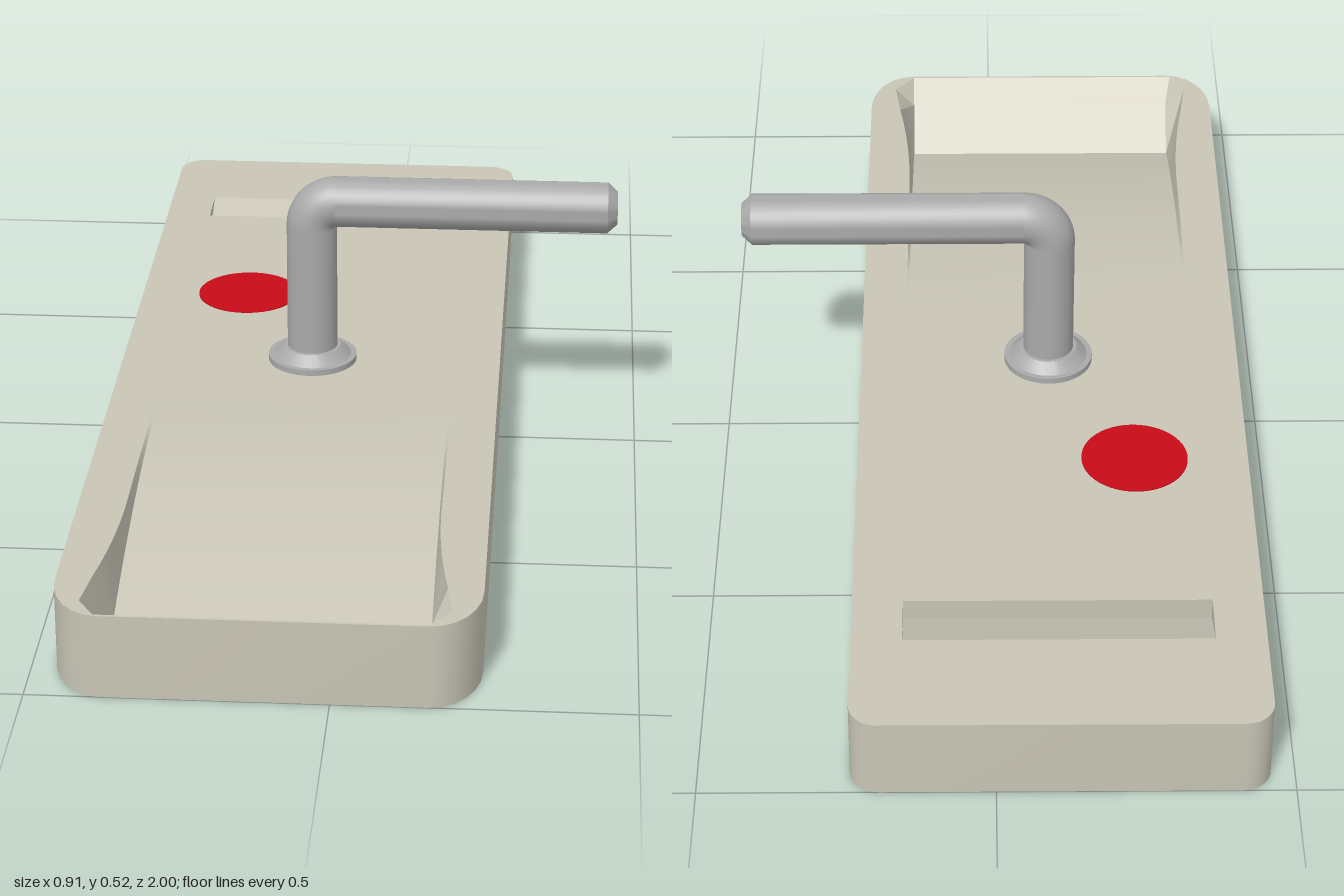
import * as THREE from 'three';
import { toCreasedNormals } from 'three/addons/utils/BufferGeometryUtils.js';

const CX = -0.1075, HALF_W = 0.3525, TOP = 0.15;

const plateMat = new THREE.MeshStandardMaterial({ color: 0xc8c5b6 });
const metalMat = new THREE.MeshStandardMaterial({ color: 0xaaaaaa });
const redMat = new THREE.MeshStandardMaterial({ color: 0xc80a18 });

// Grid surface through rows of [x, y, z] points
function surface(rows, crease) {
  const n = rows[0].length, index = [];
  for (let r = 0; r < rows.length - 1; r++) {
    for (let i = 0; i < n - 1; i++) {
      const a = r * n + i, b = a + 1, c = a + n, d = c + 1;
      index.push(a, c, b, b, c, d);
    }
  }
  const g = new THREE.BufferGeometry();
  g.setAttribute('position', new THREE.Float32BufferAttribute(rows.flat(2), 3));
  g.setIndex(index);
  return toCreasedNormals(g, crease);
}

// Plate outline as [x, z], with wide front corners and tight back corners
function outline() {
  const pts = [];
  const corners = [[1, 1, 0.085, 0.12], [-1, 1, 0.085, 0.12], [-1, -1, 0.05, 0.05], [1, -1, 0.05, 0.05]];
  corners.forEach(([sx, sz, rx, rz], k) => {
    for (let i = 0; i <= 6; i++) {
      const t = (k + i / 6) * Math.PI / 2;
      pts.push([CX + sx * (HALF_W - rx) + rx * Math.cos(t), sz * (1 - rz) + rz * Math.sin(t)]);
    }
  });
  return pts;
}

// Recess stations: z, depth, half width at the rim; the floor half width stays at 0.265
function gripStations() {
  const list = [], z0 = 0.2, z1 = 0.87;
  for (let i = 0; i <= 16; i++) {
    const t = i / 16, z = z0 + (z1 - z0) * t;
    const flare = Math.max(0, (z - 0.6) / 0.35);
    list.push([z, 0.11 * t * t, 0.27 + 0.038 * flare * flare]);
  }
  list.push([0.95, 0.04, 0.303], [0.995, 0, 0.275]);
  return list;
}
const slotStations = [[-0.79, 0, 0.265], [-0.69, 0.04, 0.265], [-0.69, 0, 0.265]];

function recessSurface(stations) {
  return surface(stations.map(([z, d, w]) => [
    [CX - w, TOP, z], [CX - 0.265, TOP - d, z], [CX + 0.265, TOP - d, z], [CX + w, TOP, z],
  ]), 0.45);
}

// Rim of a recess, used as a hole in the top face
function recessHole(stations) {
  const left = stations.map(([z, , w]) => new THREE.Vector2(CX - w, -z));
  const right = stations.map(([z, , w]) => new THREE.Vector2(CX + w, -z)).reverse();
  return new THREE.Path([...left, ...right]);
}

function add(group, name, geometry, material) {
  const mesh = new THREE.Mesh(geometry, material);
  mesh.name = name;
  group.add(mesh);
  return mesh;
}

function createPlate() {
  const plate = new THREE.Group();
  plate.name = 'plate';
  const pts = outline(), grip = gripStations();

  // Side wall
  const loop = [...pts, pts[0]];
  add(plate, 'plateSides', surface([0, TOP].map(y => loop.map(([x, z]) => [x, y, z])), 0.5), plateMat);

  // Underside
  const bottom = new THREE.Shape(pts.map(([x, z]) => new THREE.Vector2(x, z)));
  add(plate, 'plateBottom', new THREE.ShapeGeometry(bottom).rotateX(Math.PI / 2), plateMat);

  // Top face with openings for the two recesses
  const top = new THREE.Shape(pts.map(([x, z]) => new THREE.Vector2(x, -z)));
  const slotRim = [slotStations[0], slotStations[2]];
  top.holes.push(recessHole(grip), recessHole(slotRim));
  add(plate, 'plateTop', new THREE.ShapeGeometry(top).rotateX(-Math.PI / 2).translate(0, TOP, 0), plateMat);

  // Scooped front recess and wedge-shaped back slot
  add(plate, 'frontRecess', recessSurface(grip), plateMat);
  add(plate, 'backSlot', recessSurface(slotStations), plateMat);
  return plate;
}

function createLever() {
  const lever = new THREE.Group();
  lever.name = 'lever';
  const x = -0.105, r = 0.0465, bendY = 0.424, armX = x + r;

  // Stepped collar
  const profile = [[0, 0.15], [0.07, 0.15], [0.07, 0.154], [0.082, 0.154], [0.082, 0.165],
    [0.072, 0.165], [0.053, 0.183], [0, 0.183]].map(p => new THREE.Vector2(...p));
  const collar = toCreasedNormals(new THREE.LatheGeometry(profile, 40), 0.4);
  add(lever, 'collar', collar.translate(x, 0, 0), metalMat);

  // Upright stem
  const stemH = bendY - 0.18;
  add(lever, 'stem', new THREE.CylinderGeometry(r, r, stemH, 32, 1, true)
    .translate(x, 0.18 + stemH / 2, 0), metalMat);

  // Quarter bend
  add(lever, 'bend', new THREE.TorusGeometry(r, r, 32, 16, Math.PI / 2)
    .rotateZ(Math.PI / 2).translate(armX, bendY, 0), metalMat);

  // Horizontal arm with a chamfered end
  const len = 0.455 - armX;
  const arm = [[r, 0], [r, len - 0.018], [0.03, len], [0, len]].map(p => new THREE.Vector2(...p));
  add(lever, 'arm', toCreasedNormals(new THREE.LatheGeometry(arm, 32), 0.4)
    .rotateZ(-Math.PI / 2).translate(armX, bendY + r, 0), metalMat);
  return lever;
}

export function createModel() {
  const model = new THREE.Group();
  model.name = 'leverPanel';
  model.add(createPlate(), createLever());

  // Flat red disc on the top face
  add(model, 'redDisc', new THREE.CylinderGeometry(0.096, 0.096, 0.003, 48)
    .translate(-0.255, TOP + 0.0005, -0.3), redMat);
  return model;
}
